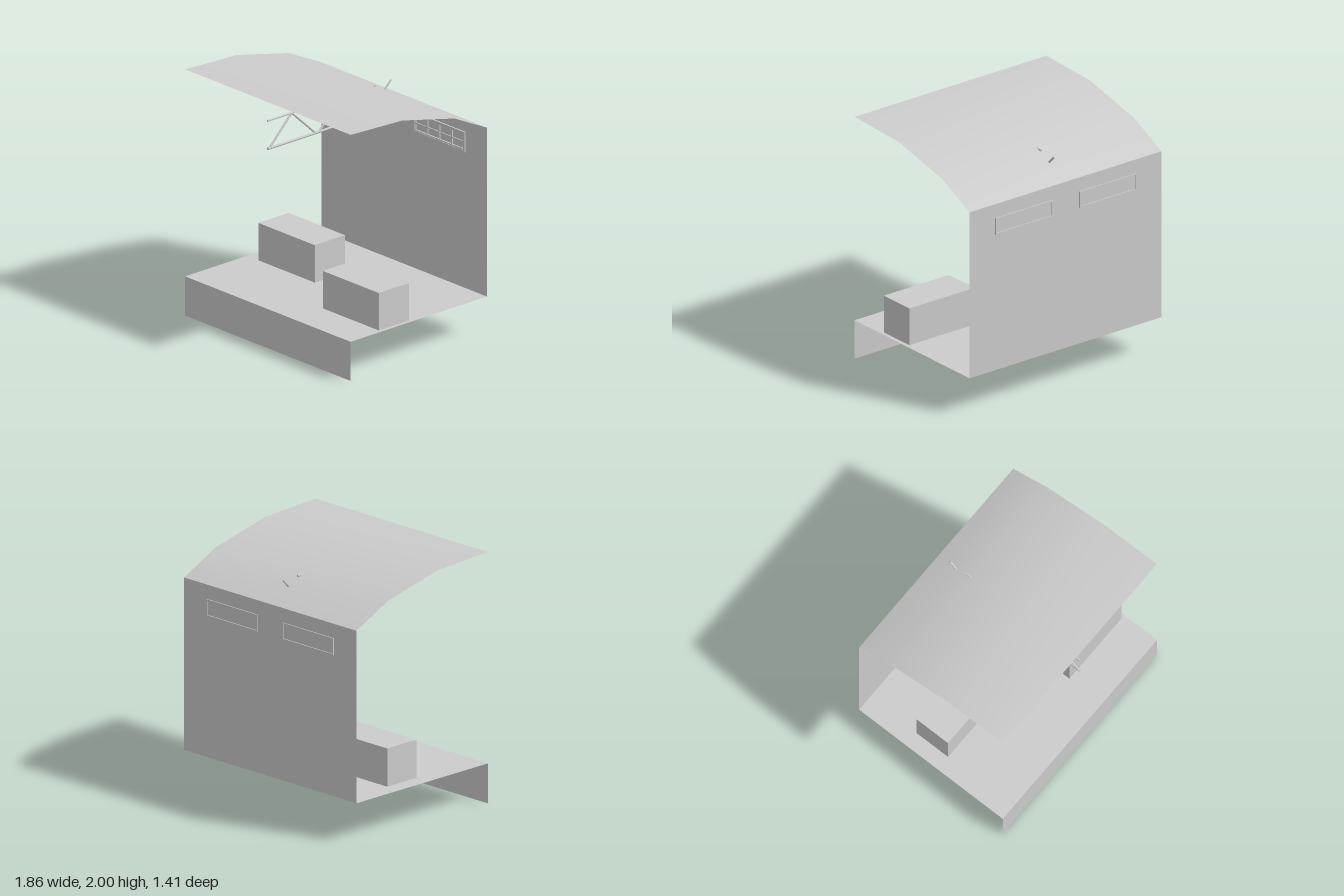
import * as THREE from 'three';

const W = 1.855;
const solid = new THREE.MeshStandardMaterial({ color: 0xcccccc });
const sheet = new THREE.MeshStandardMaterial({ color: 0xcccccc, side: THREE.DoubleSide });

function add(parent, name, geometry, material = solid) {
  const mesh = new THREE.Mesh(geometry, material);
  mesh.name = name;
  parent.add(mesh);
  return mesh;
}

// Box given by its minimum and maximum corners
function box(parent, name, [x0, y0, z0], [x1, y1, z1]) {
  const g = new THREE.BoxGeometry(x1 - x0, y1 - y0, z1 - z0);
  g.translate((x0 + x1) / 2, (y0 + y1) / 2, (z0 + z1) / 2);
  return add(parent, name, g);
}

// Thin sheet spanning the full width along a [z, y] profile, smooth across its folds
function profileSheet(parent, name, profile) {
  const g = new THREE.PlaneGeometry(W, 1, 1, profile.length - 1);
  const p = g.attributes.position;
  profile.forEach(([z, y], i) => {
    for (const k of [0, 1]) p.setXYZ(2 * i + k, p.getX(2 * i + k), y, z);
  });
  g.computeVertexNormals();
  return add(parent, name, g, sheet);
}

// Round bar in the x = 0 plane between two [z, y] points
function rod(parent, name, [z0, y0], [z1, y1], radius) {
  const a = new THREE.Vector3(0, y0, z0);
  const b = new THREE.Vector3(0, y1, z1);
  const dir = b.clone().sub(a);
  const mesh = add(parent, name, new THREE.CylinderGeometry(radius, radius, dir.length(), 12));
  mesh.position.copy(a).add(b).multiplyScalar(0.5);
  mesh.quaternion.setFromUnitVectors(new THREE.Vector3(0, 1, 0), dir.normalize());
}

// Rectangular ring with bars of width t, from z0 to z1
function ring(parent, name, w, h, t, z0, z1) {
  const rect = (P, a, b) => new P([
    new THREE.Vector2(-a, -b), new THREE.Vector2(a, -b),
    new THREE.Vector2(a, b), new THREE.Vector2(-a, b)]);
  const s = rect(THREE.Shape, w / 2, h / 2);
  s.holes.push(rect(THREE.Path, w / 2 - t, h / 2 - t));
  const g = new THREE.ExtrudeGeometry(s, { depth: z1 - z0, bevelEnabled: false });
  g.translate(0, 0, z0);
  add(parent, name, g);
}

export function createModel() {
  const model = new THREE.Group();
  model.name = 'openHall';

  // Shell: skirt, floor, back wall and curved roof
  profileSheet(model, 'frontSkirt', [[0.7, 0.318], [0.7, 0]]);
  profileSheet(model, 'floor', [[-0.7, 0.318], [0.7, 0.318]]);
  profileSheet(model, 'backWall', [[-0.7, 1.69], [-0.7, 0.318]]);
  profileSheet(model, 'roof', [[-0.7, 1.69], [-0.365, 1.853], [0.17, 1.977], [0.7, 2]]);

  // Two blocks standing on the floor
  box(model, 'rightBlock', [-0.8, 0.312, -0.246], [-0.168, 0.622, 0.064]);
  box(model, 'leftBlock', [0.268, 0.312, 0.072], [0.896, 0.622, 0.382]);

  // Roof truss: two chords and zigzag braces
  const truss = new THREE.Group();
  truss.name = 'roofTruss';
  model.add(truss);
  rod(truss, 'topChord', [0.703, 1.849], [-0.408, 1.849], 0.008);
  rod(truss, 'bottomChord', [0.703, 1.622], [-0.692, 1.622], 0.01);
  const braces = [[0.684, 0.455], [0.21, 0.455], [0.175, -0.06], [-0.3, -0.06], [-0.34, -0.565]];
  for (const [low, high] of braces) {
    rod(truss, 'brace', [low, 1.622], [high, 1.849], 0.008);
  }

  // High windows with outer frame, sash and glazing bars
  for (const [name, x] of [['rightWindow', -0.408], ['leftWindow', 0.405]]) {
    const win = new THREE.Group();
    win.name = name;
    win.position.set(x, 1.508, 0);
    model.add(win);
    ring(win, 'frame', 0.578, 0.164, 0.014, -0.696, -0.684);
    ring(win, 'sash', 0.55, 0.136, 0.01, -0.708, -0.688);
    for (const i of [-1, 0, 1]) {
      box(win, 'verticalBar', [i * 0.137 - 0.005, -0.062, -0.699], [i * 0.137 + 0.005, 0.062, -0.69]);
    }
    box(win, 'horizontalBar', [-0.27, -0.009, -0.699], [0.27, 0.001, -0.691]);
  }
  return model;
}
